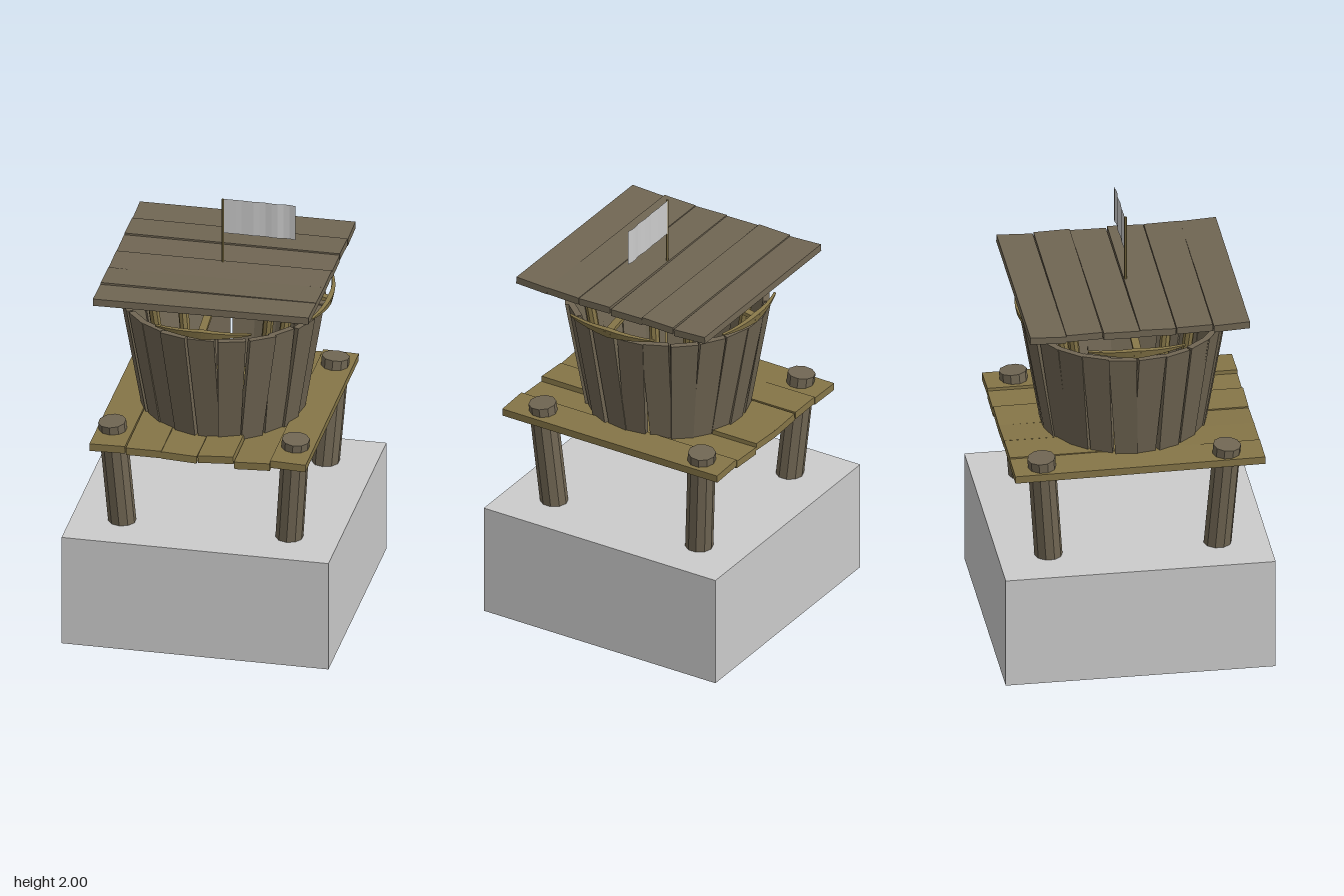
import * as THREE from 'three';

const material = (color, extra = {}) => {
  const m = new THREE.MeshStandardMaterial({ flatShading: true, ...extra });
  m.color.set(color);
  return m;
};

// Small seeded generator, returns -1..1
function seeded(seed) {
  return () => {
    seed = (seed * 16807) % 2147483647;
    return (seed / 2147483647) * 2 - 1;
  };
}

// Straight round pole between two points
function pole(name, from, to, radius, sides, mat) {
  const a = new THREE.Vector3(...from), b = new THREE.Vector3(...to);
  const dir = b.clone().sub(a);
  const mesh = new THREE.Mesh(new THREE.CylinderGeometry(radius, radius, dir.length(), sides), mat);
  mesh.position.copy(a).add(b).multiplyScalar(0.5);
  mesh.quaternion.setFromUnitVectors(new THREE.Vector3(0, 1, 0), dir.normalize());
  mesh.name = name;
  return mesh;
}

// Move every vertex of a geometry by a rule
function reshape(geometry, rule) {
  const p = geometry.attributes.position, v = new THREE.Vector3();
  for (let i = 0; i < p.count; i++) {
    rule(v.fromBufferAttribute(p, i));
    p.setXYZ(i, v.x, v.y, v.z);
  }
  geometry.computeVertexNormals();
  return geometry;
}

export function createModel() {
  const model = new THREE.Group();
  model.name = 'watchtower';
  const rnd = seeded(4711);
  const grey = material(0xcccccc);
  const darkWood = material(0x706653);
  const lightWood = material(0x857547);
  const add = (parent, geometry, mat, name) => {
    const mesh = new THREE.Mesh(geometry, mat);
    mesh.name = name;
    parent.add(mesh);
    return mesh;
  };

  // Stone base
  add(model, new THREE.BoxGeometry(1.22, 0.53, 1.22), grey, 'base').position.y = 0.265;

  // Legs splay outward and poke through the platform
  // Thin posts carry the roof
  for (const sx of [-1, 1]) {
    for (const sz of [-1, 1]) {
      model.add(pole('leg', [sx * 0.38, 0.5, sz * 0.38], [sx * 0.42, 1.04, sz * 0.42], 0.063, 10, darkWood));
      model.add(pole('roofPost', [sx * 0.2, 0.98, sz * 0.2 + 0.01], [sx * 0.275, 1.66, sz * 0.275 + 0.01], 0.024, 8, lightWood));
    }
  }

  // Platform planks run front to back
  const platform = new THREE.Group();
  platform.name = 'platform';
  model.add(platform);
  const drops = [0, 0.002, -0.004, 0, -0.012, 0.003];
  drops.forEach((dy, i) => {
    const plank = add(platform, new THREE.BoxGeometry(0.162, 0.035, 1.13), lightWood, 'platformPlank');
    plank.position.set(-0.408 + i * 0.165, 0.978 + dy, 0.017);
    plank.rotation.set(rnd() * 0.008, rnd() * 0.004, rnd() * 0.07);
  });

  // Roof planks run side to side
  const roof = new THREE.Group();
  roof.name = 'roof';
  model.add(roof);
  for (let i = 0; i < 6; i++) {
    const plank = add(roof, new THREE.BoxGeometry(0.985, 0.033, 0.163), darkWood, 'roofPlank');
    plank.position.set(0.004, 1.67 + rnd() * 0.006, -0.4 + i * 0.166);
    plank.rotation.set(rnd() * 0.06, rnd() * 0.005, 0.005 + rnd() * 0.008);
  }

  // Flaring tub of tapered staves
  const tub = new THREE.Group();
  tub.name = 'tub';
  tub.position.set(0.005, 0, 0.017);
  model.add(tub);
  const staves = 22;
  for (let i = 0; i < staves; i++) {
    const shift = rnd() * 0.008, lean = rnd() * 0.012, push = rnd() * 0.007;
    const geometry = reshape(new THREE.BoxGeometry(1, 1, 1), (v) => {
      const top = v.y > 0;
      v.x = v.x * (top ? 0.124 : 0.1) + (top ? lean : -lean) + shift;
      v.z = (top ? 0.455 : 0.362) + push + (v.z - 0.5) * 0.03;
      v.y = top ? 1.513 : 0.97;
    });
    add(tub, geometry, darkWood, 'stave').rotation.y = (i / staves) * Math.PI * 2;
  }

  // Four mounted bows, one per side, aiming slightly down
  for (let k = 0; k < 4; k++) {
    const bow = new THREE.Group();
    bow.name = 'mountedBow';
    bow.position.set(0.015, 0, 0.02);
    bow.rotation.y = (k * Math.PI) / 2;
    model.add(bow);
    // Limbs taper to their tips and sweep back
    const limbs = reshape(new THREE.BoxGeometry(0.44, 1, 1, 8, 1, 1), (v) => {
      const t = Math.abs(v.x) / 0.22;
      v.y *= 0.042 * (1 - 0.85 * t);
      v.z = v.z * 0.022 * (1 - 0.5 * t) - 0.035 * t * t;
    });
    const limb = add(bow, limbs, lightWood, 'bowLimbs');
    limb.position.set(-0.01, 1.555, 0.475);
    limb.rotation.x = 0.2;
    const stock = add(bow, new THREE.BoxGeometry(0.035, 0.018, 0.21), lightWood, 'bowStock');
    stock.position.set(-0.01, 1.575, 0.383);
    stock.rotation.x = 0.2;
  }

  // Flagpole and waving flag
  model.add(pole('flagpole', [0, 1.65, 0.025], [0, 2, 0.025], 0.006, 6, lightWood));
  const cloth = reshape(new THREE.PlaneGeometry(0.33, 0.17, 12, 1), (v) => {
    v.z = Math.sin((v.x + 0.165) * 60) * 0.004 * (v.x + 0.165) / 0.33;
  });
  add(model, cloth, material(0xcccccc, { side: THREE.DoubleSide }), 'flag').position.set(0.167, 1.915, 0.021);

  return model;
}
